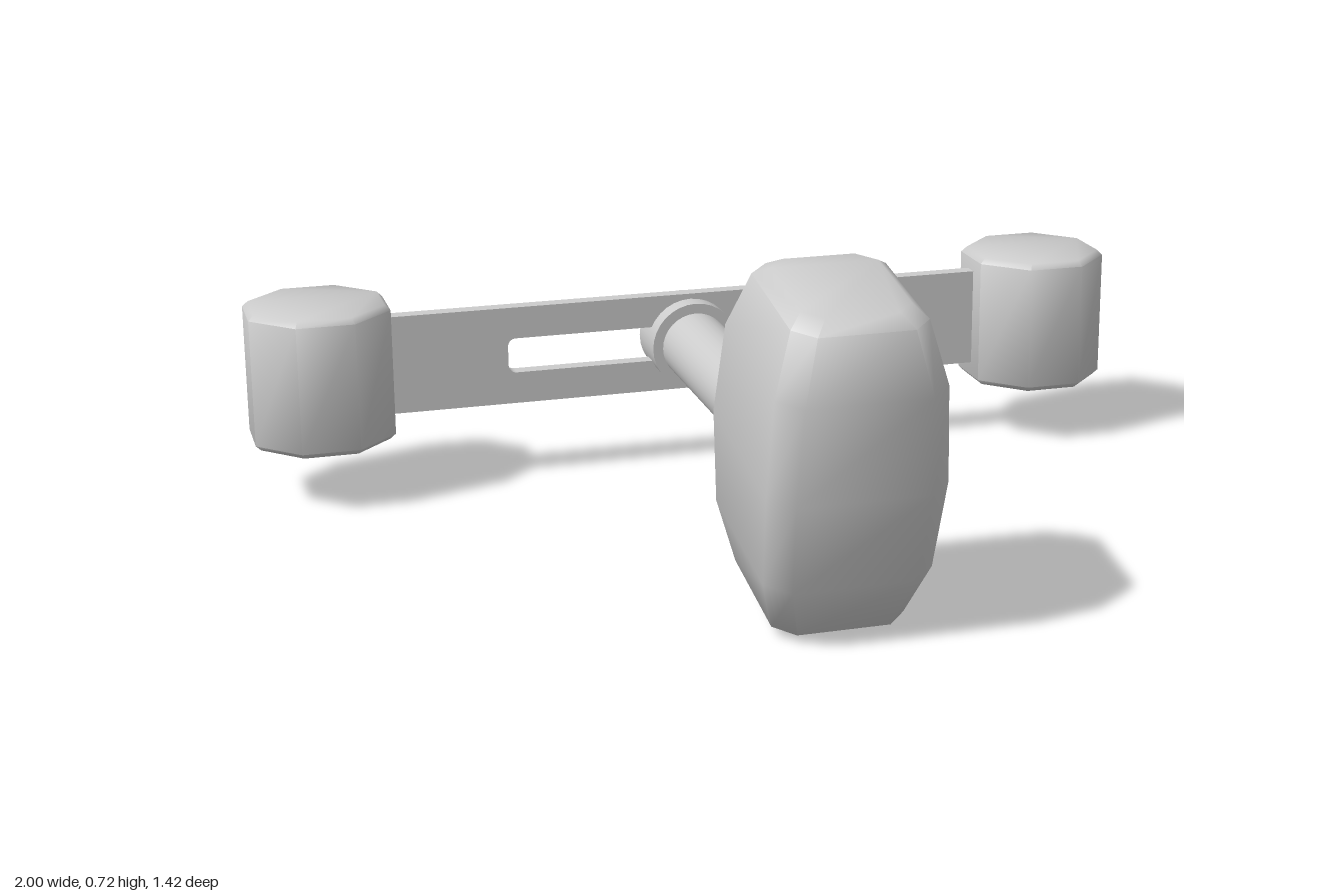
import * as THREE from 'three';
import { toCreasedNormals } from 'three/addons/utils/BufferGeometryUtils.js';

const material = new THREE.MeshStandardMaterial({ color: 0xcccccc });

function part(name, geometry, x = 0, y = 0, z = 0) {
  const mesh = new THREE.Mesh(geometry, material);
  mesh.name = name;
  mesh.position.set(x, y, z);
  return mesh;
}

// Joins chamfered-rectangle rings [y, halfWidth, halfDepth, chamfer] from first to last, with end caps
function loft(rings) {
  const positions = [], index = [];
  for (const [y, w, d, c] of rings) {
    const corners = [[w, c - d], [w, d - c], [w - c, d], [c - w, d], [-w, d - c], [-w, c - d], [c - w, -d], [w - c, -d]];
    for (const [x, z] of corners) positions.push(x, y, z);
  }
  const last = (rings.length - 1) * 8;
  for (let i = 0; i < last; i += 8) {
    for (let j = 0; j < 8; j++) {
      const k = (j + 1) % 8;
      index.push(i + j, i + 8 + j, i + k, i + 8 + j, i + 8 + k, i + k);
    }
  }
  for (let j = 1; j < 7; j++) {
    index.push(0, j, j + 1);
    index.push(last, last + j + 1, last + j);
  }
  const geometry = new THREE.BufferGeometry();
  geometry.setAttribute('position', new THREE.Float32BufferAttribute(positions, 3));
  geometry.setIndex(index);
  return toCreasedNormals(geometry, 0.9);
}

const octagon = (y, r) => [y, r, r, r * 0.586];

// Cylinder lying along z
function rod(name, radius, back, front, y) {
  const geometry = new THREE.CylinderGeometry(radius, radius, front - back, 32).rotateX(Math.PI / 2);
  return part(name, geometry, 0, y, (front + back) / 2);
}

// Flat plate with a long round-cornered slot
function barGeometry() {
  const shape = new THREE.Shape();
  shape.moveTo(-0.72, -0.112).lineTo(0.72, -0.112).lineTo(0.72, 0.112).lineTo(-0.72, 0.112).closePath();
  const w = 0.425, h = 0.04, r = 0.018;
  const slot = new THREE.Path();
  slot.absarc(w - r, h - r, r, 0, Math.PI / 2);
  slot.absarc(r - w, h - r, r, Math.PI / 2, Math.PI);
  slot.absarc(r - w, r - h, r, Math.PI, Math.PI * 1.5);
  slot.absarc(w - r, r - h, r, Math.PI * 1.5, Math.PI * 2);
  slot.closePath();
  shape.holes.push(slot);
  return new THREE.ExtrudeGeometry(shape, { depth: 0.034, bevelEnabled: false, curveSegments: 4 })
    .translate(0, 0, -0.017);
}

export function createModel() {
  const model = new THREE.Group();
  model.name = 'weightedCrossbar';
  const axisY = 0.287;

  // Tilted barrel-shaped head with a stepped socket underneath
  const head = part('head', loft([
    octagon(-0.28, 0.05),
    octagon(-0.31, 0.05),
    octagon(-0.31, 0.08),
    octagon(-0.34, 0.08),
    [-0.34, 0.108, 0.132, 0.036],
    [-0.318, 0.135, 0.165, 0.04],
    [-0.196, 0.17, 0.208, 0.045],
    [0, 0.18, 0.225, 0.045],
    [0.196, 0.17, 0.208, 0.045],
    [0.318, 0.135, 0.165, 0.04],
    [0.34, 0.108, 0.132, 0.036],
  ]), 0, 0.36, 0.465);
  head.rotation.x = 0.181;
  model.add(head);

  // Shaft and the collar clamping it to the bar
  model.add(rod('shaft', 0.077, -0.6, 0.28, axisY));
  model.add(rod('collar', 0.1, -0.62, -0.495, axisY));

  // Slotted crossbar with an octagonal weight at each end
  model.add(part('crossbar', barGeometry(), 0, axisY, -0.557));
  const weight = loft([
    octagon(-0.154, 0.142), octagon(-0.142, 0.154), octagon(0.142, 0.154), octagon(0.154, 0.142),
  ]);
  for (const side of [1, -1]) {
    model.add(part(side > 0 ? 'leftWeight' : 'rightWeight', weight, side * 0.846, 0.286, -0.557));
  }
  return model;
}
